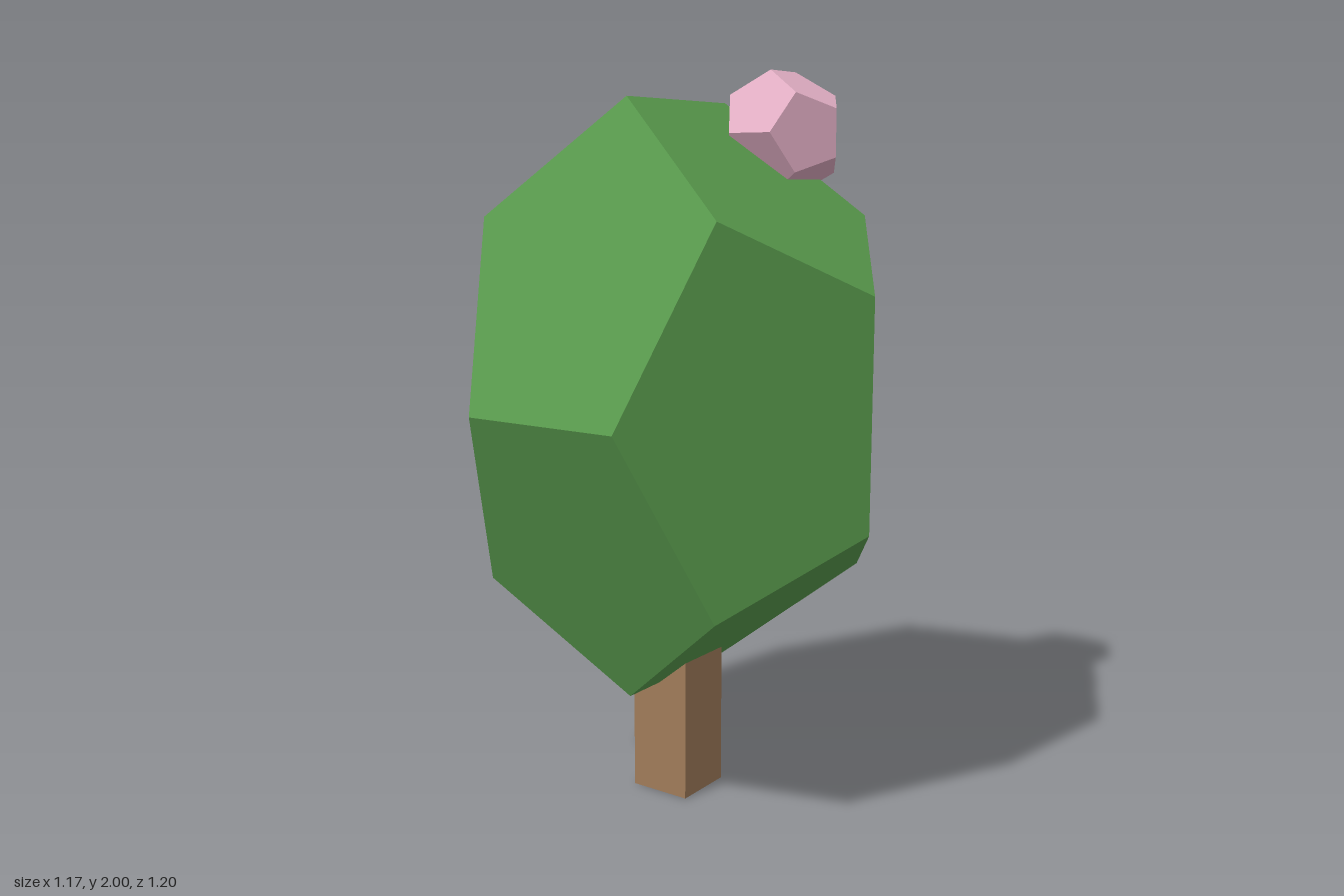
import * as THREE from 'three';

export function createModel() {
  const tree = new THREE.Group();
  tree.name = 'tree';

  const material = (name, color) => {
    const m = new THREE.MeshStandardMaterial({ color });
    m.name = name;
    return m;
  };
  const leafGreen = material('leaf green', 0x5a9c4e);
  const blossomPink = material('blossom pink', 0xe4b0c6);
  const barkBrown = material('bark brown', 0xa07c5a);

  const add = (name, geometry, mat, x, y, z) => {
    const mesh = new THREE.Mesh(geometry, mat);
    mesh.name = name;
    mesh.position.set(x, y, z);
    tree.add(mesh);
  };

  // Square trunk, running up into the crown
  add('trunk', new THREE.BoxGeometry(0.178, 0.6, 0.178), barkBrown, 0, 0.3, 0);

  // Crown: a faceted dodecahedron stretched upward
  const crown = new THREE.DodecahedronGeometry(1).scale(0.624, 0.854, 0.643);
  crown.computeVertexNormals(); // unshared corners keep each facet flat
  add('crown', crown, leafGreen, 0, 1.122, 0);

  // Single blossom half sunk into the upper front of the crown
  add('blossom', new THREE.DodecahedronGeometry(0.179), blossomPink, 0.238, 1.833, 0.179);

  return tree;
}
